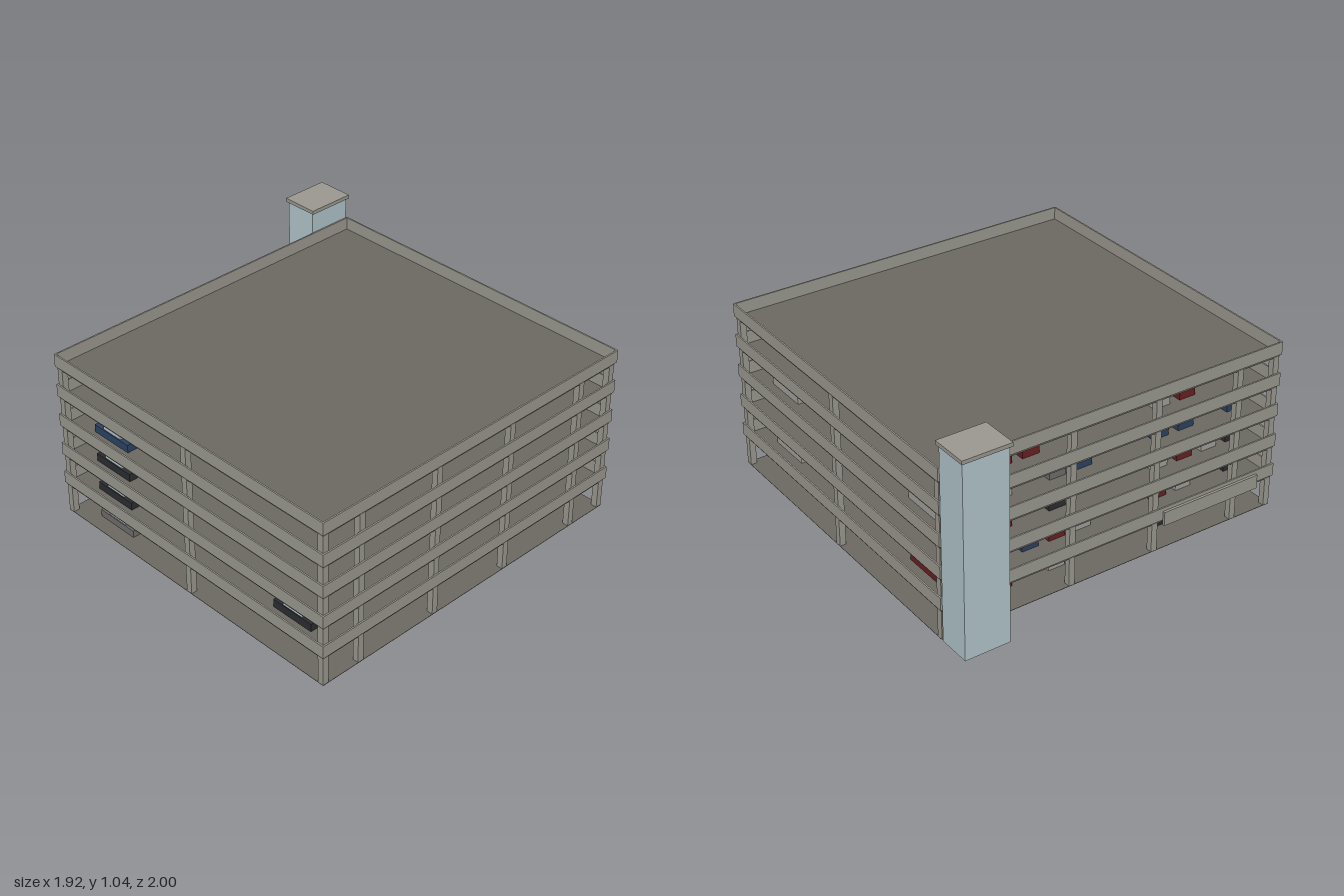
import * as THREE from 'three';

const mat = (name, color) => Object.assign(new THREE.MeshStandardMaterial({ color }), { name });

export function createModel() {
  const concrete = mat('concrete', 0x9a988f);
  const deck = mat('deck asphalt', 0x6c6962);
  const glass = mat('pale glass', 0xb0c4ca);
  const paints = {
    r: mat('car red', 0x6a1e22),
    b: mat('car blue', 0x2c4262),
    k: mat('car black', 0x2b2d30),
    s: mat('car silver', 0xa09f9a),
    g: mat('car grey', 0x6e6d6a),
  };

  const model = new THREE.Group();
  model.name = 'parkingGarage';

  // Box given by its extents on each axis
  function box(name, material, [x0, x1], [y0, y1], [z0, z1], parent = model) {
    const mesh = new THREE.Mesh(new THREE.BoxGeometry(x1 - x0, y1 - y0, z1 - z0), material);
    mesh.position.set((x0 + x1) / 2, (y0 + y1) / 2, (z0 + z1) / 2);
    mesh.name = name;
    parent.add(mesh);
    return mesh;
  }

  const PITCH = 0.168, LEVELS = 5, ROOF = PITCH * LEVELS;
  const X = 0.962, BACK = -0.813, FRONT = 0.998, T = 0.008;

  // Ground floor, a thin plate the cars and columns pass through
  box('groundFloor', deck, [-X + T, X - T], [0.0008, 0.003], [BACK + T, FRONT - T]);

  // Floor slabs, each ringed by a parapet band
  for (let i = 1; i <= LEVELS; i++) {
    const y = i * PITCH;
    box('floorSlab', deck, [-X + T, X - T], [y - 0.014, y], [BACK + T, FRONT - T]);
    const band = new THREE.Group();
    band.name = 'parapet';
    model.add(band);
    const h = [y - 0.001, y + 0.066];
    box('frontParapet', concrete, [-X, X], h, [FRONT - T, FRONT], band);
    box('backParapet', concrete, [-X, X], h, [BACK, BACK + T], band);
    for (const s of [-1, 1]) {
      const x = s * (X - T / 2);
      box('sideParapet', concrete, [x - T / 2, x + T / 2], h, [BACK + T, FRONT - T], band);
    }
  }

  // Column grid: front, middle and back rows
  const C = 0.0165;
  for (const z of [0.972, 0.093, -0.788])
    for (const x of [-0.937, -0.72, -0.24, 0.24, 0.72, 0.937])
      box('column', concrete, [x - C, x + C], [0, ROOF - 0.001], [z - C, z + C]);

  // Central core
  box('core', deck, [-0.225, 0.225], [0.001, ROOF - 0.002], [-0.045, 0.235]);

  // Glazed stair tower with its cap
  box('stairTower', glass, [0.714, 0.954], [0, 1.022], [-0.99, -0.814]);
  box('towerCap', concrete, [0.704, 0.962], [1.02, 1.04], [-1, -0.8]);

  // Blank panel over the rear entrance
  box('entrancePanel', concrete, [-0.85, -0.28], [0.14, 0.215], [-0.826, BACK]);

  // Parked cars: one letter per bay from -x to +x, a dot is an empty bay
  const rows = [
    { front: '..s.bb'.replace('..s', '.s.') + 'skbr..', back: 'g.rk...s.rk.' },
    { front: '.k..b...gs.s', back: 'k.sr..srb.kr' },
    { front: '.b.b.skks.r.', back: 'ksrs...k.rb.' },
    { front: '.srbk..sk..s', back: 'b.bb..bg.s.s' },
    { front: '.rb...r..gr.', back: '..rs....rr..' },
  ];
  // The second storey also has a dark car in its front corner bay
  rows[1].front = 'k' + rows[1].front.slice(1).replace('k', 's');

  function car(paint, x, y, z) {
    const g = new THREE.Group();
    g.name = 'car';
    box('carBody', paint, [-0.046, 0.046], [0, 0.042], [-0.122, 0.122], g);
    box('carCabin', glass, [-0.041, 0.041], [0.042, 0.079], [-0.062, 0.062], g);
    g.position.set(x, y, z);
    model.add(g);
  }

  rows.forEach((row, level) => {
    for (const [line, z] of [[row.front, 0.71], [row.back, -0.53]])
      [...line].forEach((letter, bay) => {
        if (paints[letter]) car(paints[letter], -0.83 + bay * 0.1495, level * PITCH, z);
      });
  });

  return model;
}
